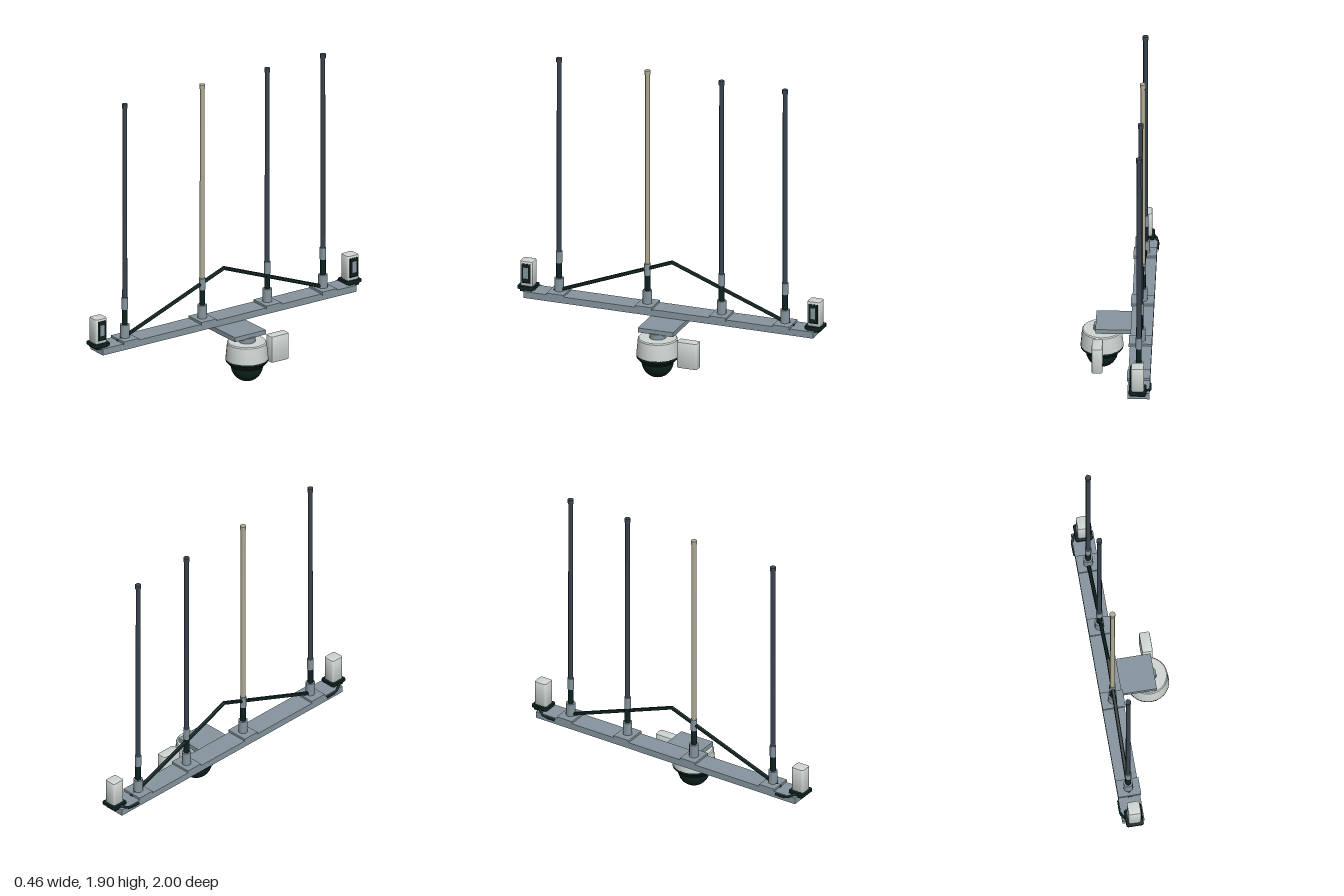
import * as THREE from 'three';
import { toCreasedNormals } from 'three/addons/utils/BufferGeometryUtils.js';

const mat = (name, color) => Object.assign(new THREE.MeshStandardMaterial({ color }), { name });

export function createModel() {
  const steel = mat('blue grey metal', 0x87969f);
  const shell = mat('off white shell', 0xd0d7d4);
  const black = mat('green black plastic', 0x0d2321);
  const slate = mat('dark slate rod', 0x3a4550);
  const tan = mat('tan rod', 0xb3ad94);
  const model = new THREE.Group();
  model.name = 'sensorMast';

  const add = (parent, name, geo, material, x = 0, y = 0, z = 0) => {
    const m = new THREE.Mesh(geo, material);
    m.name = name;
    m.position.set(x, y, z);
    parent.add(m);
    return m;
  };
  // box given by its min and max corners
  const box = (parent, name, material, a, b) =>
    add(parent, name, new THREE.BoxGeometry(b[0] - a[0], b[1] - a[1], b[2] - a[2]), material,
      (a[0] + b[0]) / 2, (a[1] + b[1]) / 2, (a[2] + b[2]) / 2);
  // upright cylinder from y0 to y1
  const post = (parent, name, material, r, y0, y1, sides = 14, top = r) =>
    add(parent, name, toCreasedNormals(new THREE.CylinderGeometry(top, r, y1 - y0, sides), 0.7), material, 0, (y0 + y1) / 2, 0);
  // box with rounded vertical edges and a small bevel
  const casing = (w, h, d, r) => {
    const s = new THREE.Shape(), x = w / 2, z = d / 2, b = 0.005;
    const k = [x - b, z - b];
    s.moveTo(-k[0] + r, -k[1]);
    s.lineTo(k[0] - r, -k[1]); s.quadraticCurveTo(k[0], -k[1], k[0], -k[1] + r);
    s.lineTo(k[0], k[1] - r); s.quadraticCurveTo(k[0], k[1], k[0] - r, k[1]);
    s.lineTo(-k[0] + r, k[1]); s.quadraticCurveTo(-k[0], k[1], -k[0], k[1] - r);
    s.lineTo(-k[0], -k[1] + r); s.quadraticCurveTo(-k[0], -k[1], -k[0] + r, -k[1]);
    const g = new THREE.ExtrudeGeometry(s, {
      depth: h - 2 * b, bevelEnabled: true, bevelSize: b, bevelThickness: b, bevelSegments: 2, curveSegments: 4,
    });
    g.translate(0, 0, -(h - 2 * b) / 2).rotateX(-Math.PI / 2);
    return toCreasedNormals(g, 0.6);
  };

  // main beam and camera arm
  box(model, 'beam', steel, [-0.22, 0.315, -0.95], [-0.085, 0.357, 0.95]);
  box(model, 'cameraArm', steel, [-0.175, 0.286, -0.116], [0.133, 0.315, 0.116]);

  // four whip antennas with mounting plates
  [[0.742, slate], [0.162, tan], [-0.325, slate], [-0.742, slate]].forEach(([z, rod]) => {
    const g = new THREE.Group();
    g.name = 'antenna';
    g.position.set(-0.15, 0, z);
    box(g, 'mountPlate', steel, [-0.07, 0.35, -0.055], [0.072, 0.371, 0.055]);
    post(g, 'baseSocket', steel, 0.029, 0.37, 0.455);
    post(g, 'spring', black, 0.018, 0.455, 0.555);
    post(g, 'ferrule', steel, 0.02, 0.555, 0.63);
    post(g, 'whip', rod, 0.0155, 0.63, 1.875, 12, 0.0145);
    post(g, 'tipCap', rod, 0.018, 1.872, 1.9, 12);
    model.add(g);
  });

  // sloping braces meeting above the middle
  for (const s of [1, -1]) {
    const a = new THREE.Vector3(-0.15, 0.66, -0.003 * s), b = new THREE.Vector3(-0.15, 0.352, 0.8 * s);
    const dir = b.clone().sub(a), mid = a.clone().add(b).multiplyScalar(0.5);
    const brace = add(model, 'brace', toCreasedNormals(new THREE.CylinderGeometry(0.012, 0.012, dir.length(), 8), 0.9),
      black, mid.x, mid.y, mid.z);
    brace.quaternion.setFromUnitVectors(new THREE.Vector3(0, 1, 0), dir.normalize());
  }

  // dome camera
  const dome = new THREE.Group();
  dome.name = 'domeCamera';
  dome.position.set(0.096, 0, 0);
  const lathe = (name, material, pts) => add(dome, name,
    toCreasedNormals(new THREE.LatheGeometry(pts.map(p => new THREE.Vector2(...p)), 28), 0.5), material);
  post(dome, 'neck', steel, 0.053, 0.25, 0.29, 10);
  lathe('housing', shell, [[0, 0.145], [0.131, 0.145], [0.131, 0.155], [0.122, 0.25], [0.116, 0.257], [0, 0.257]]);
  lathe('skirt', black, [[0, 0.1], [0.102, 0.1], [0.131, 0.132], [0.131, 0.146], [0, 0.146]]);
  const bowl = [];
  for (let i = 0; i <= 10; i++) {
    const t = (i / 10) * Math.PI / 2;
    bowl.push([0.099 * Math.sin(t), 0.102 * (1 - Math.cos(t))]);
  }
  lathe('bowl', black, bowl);
  model.add(dome);

  // junction box beside the camera
  add(model, 'junctionBox', casing(0.066, 0.171, 0.133, 0.008), shell, 0.12, 0.182, -0.212);

  // sensor unit at each end of the beam
  for (const s of [1, -1]) {
    const g = new THREE.Group();
    g.name = 'endSensor';
    g.position.set(-0.148, 0, 0.943 * s);
    box(g, 'foot', black, [-0.045, 0.35, -0.038], [0.045, 0.368, 0.038]);
    add(g, 'base', casing(0.108, 0.022, 0.112, 0.01), black, 0, 0.375, 0);
    add(g, 'body', casing(0.078, 0.162, 0.086, 0.012), shell, 0, 0.465, 0);
    // framed window on the +x face
    const frame = new THREE.Shape([[-0.03, 0.405], [0.03, 0.405], [0.03, 0.53], [-0.03, 0.53]].map(p => new THREE.Vector2(...p)));
    const geo = new THREE.ExtrudeGeometry(frame, { depth: 0.004, bevelThickness: 0.005, bevelSize: 0.006, bevelOffset: -0.006, bevelSegments: 1 });
    geo.rotateY(Math.PI / 2);
    add(g, 'windowFrame', geo, black, 0.039, 0, 0);
    box(g, 'window', steel, [0.044, 0.437, -0.015], [0.049, 0.508, 0.015]);
    // cable dropping over the beam edge
    const path = new THREE.CatmullRomCurve3([[-0.03, 0.376, 0.02], [-0.056, 0.37, -0.01], [-0.074, 0.352, -0.045],
      [-0.075, 0.344, -0.08], [-0.074, 0.343, -0.135]].map(([x, y, z]) => new THREE.Vector3(x, y, z * s)));
    add(g, 'cable', new THREE.TubeGeometry(path, 16, 0.008, 8), black);
    model.add(g);
  }
  return model;
}
